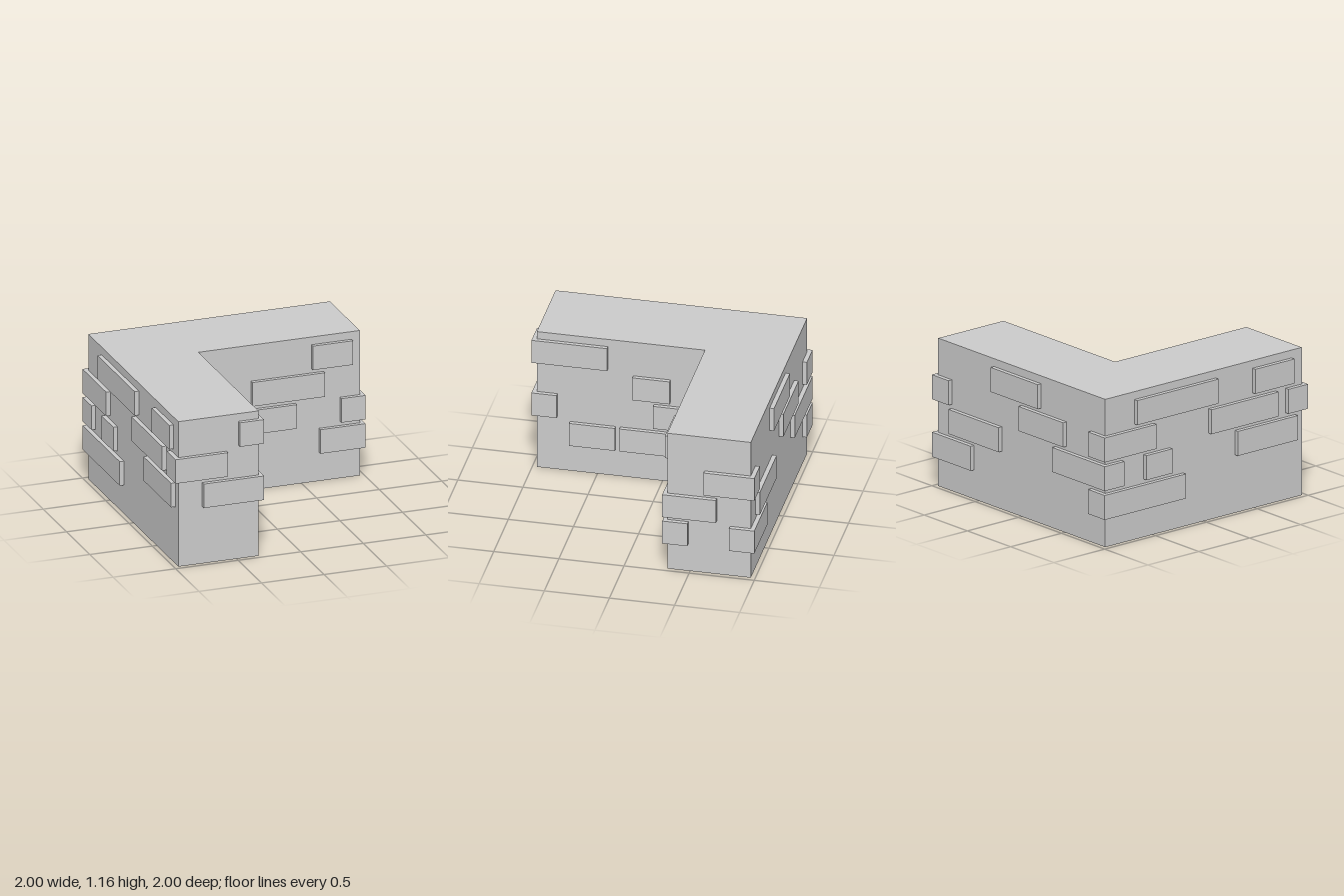
import * as THREE from 'three';

const H = 1.165;      // wall height
const O = 0.966;      // outer wall face
const I = -0.325;     // inner wall face
const D = 0.193;      // brick depth and height
const ROWS = [0.23, 0.457, 0.683, 0.91]; // underside of each brick course

export function createModel() {
  const group = new THREE.Group();
  const shell = new THREE.MeshStandardMaterial({ color: 0xcccccc, flatShading: true, side: THREE.DoubleSide });
  const stone = new THREE.MeshStandardMaterial({ color: 0xcccccc, flatShading: true });

  // L-shaped outline as (x, z), hollow and open underneath
  const outline = [[-O, O], [I, O], [I, I], [O, I], [O, -O], [-O, -O]];

  const lidShape = new THREE.Shape(outline.map(([x, z]) => new THREE.Vector2(x, -z)));
  const lid = new THREE.Mesh(new THREE.ShapeGeometry(lidShape).rotateX(-Math.PI / 2), shell);
  lid.name = 'wallTop';
  lid.position.y = H;
  group.add(lid);

  const walls = new THREE.Group();
  walls.name = 'walls';
  outline.forEach(([x0, z0], i) => {
    const [x1, z1] = outline[(i + 1) % outline.length];
    const wall = new THREE.Mesh(new THREE.PlaneGeometry(Math.hypot(x1 - x0, z1 - z0), H), shell);
    wall.name = 'wallFace';
    wall.position.set((x0 + x1) / 2, H / 2, (z0 + z1) / 2);
    wall.rotation.y = Math.atan2(z0 - z1, x1 - x0);
    walls.add(wall);
  });
  group.add(walls);

  // Bricks set through each wall: [course, start, end] along the wall.
  // "centre" is the depth centre of the bricks across the wall.
  const courses = [
    { name: 'leftBrick', axis: 'z', centre: -1 + D / 2, bricks: [
      [0, -1, -0.2], [1, -0.59, -0.335], [1, 0.31, 0.9], [2, -1, -0.49],
      [2, 0.05, 0.71], [3, -0.68, 0.12], [3, 0.48, 0.865]] },
    { name: 'backBrick', axis: 'x', centre: -1 + D / 2, bricks: [
      [0, 0.55, 1], [1, -1, -0.39], [1, 0.23, 0.81], [2, -0.52, 0], [3, -0.225, 0.32]] },
    { name: 'rightBrick', axis: 'z', centre: 1 - D / 2, bricks: [
      [1, -0.705, -0.293], [2, -1, -0.61]] },
    { name: 'innerBackBrick', axis: 'x', centre: -0.293 - D / 2, bricks: [
      [0, 0.64, 1], [1, -0.19, 0.45], [2, 0.095, 0.675], [3, 0.58, 0.9]] },
    { name: 'frontBrick', axis: 'x', centre: 1 - D / 2, bricks: [
      [1, -0.775, -0.293], [2, -1, -0.58]] },
    { name: 'innerSideBrick', axis: 'z', centre: -0.293 - D / 2, bricks: [
      [0, -0.12, 0.325], [0, 0.36, 0.71], [1, -0.327, 0.065], [2, -0.06, 0.225], [3, 0.42, 1]] },
  ];

  for (const { name, axis, centre, bricks } of courses) {
    const set = new THREE.Group();
    set.name = name + 's';
    for (const [row, a, b] of bricks) {
      const alongX = axis === 'x';
      const len = b - a, mid = (a + b) / 2;
      const brick = new THREE.Mesh(new THREE.BoxGeometry(alongX ? len : D, D, alongX ? D : len), stone);
      brick.name = name;
      brick.position.set(alongX ? mid : centre, ROWS[row] + D / 2, alongX ? centre : mid);
      set.add(brick);
    }
    group.add(set);
  }
  return group;
}
